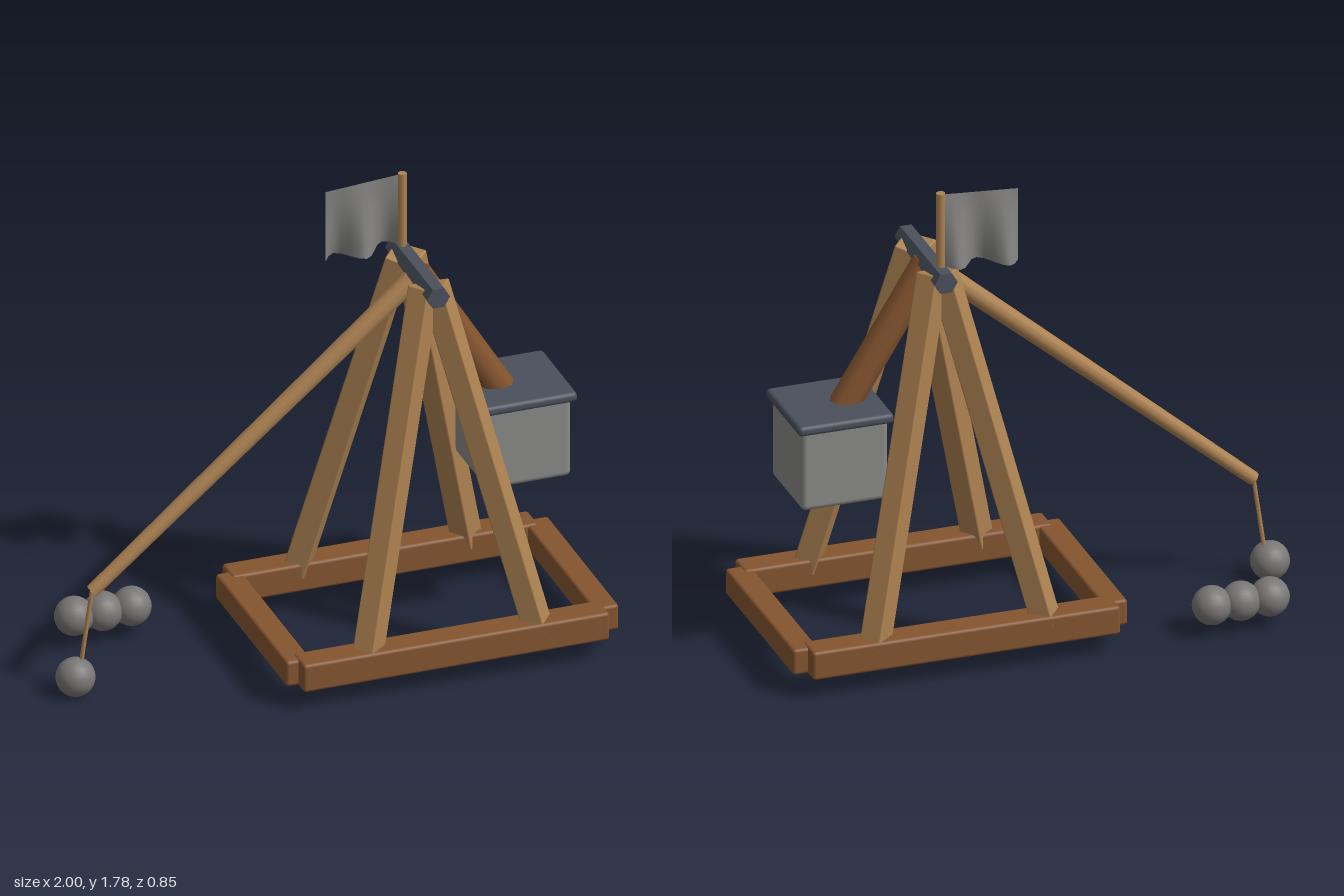
import * as THREE from 'three';
import { RoundedBoxGeometry } from 'three/addons/geometries/RoundedBoxGeometry.js';

const material = (name, color) => {
  const m = new THREE.MeshStandardMaterial({ color });
  m.name = name;
  return m;
};

export function createModel() {
  const model = new THREE.Group();
  const lightWood = material('lightWood', 0xad8252);
  const darkWood = material('darkWood', 0x85552f);
  const iron = material('iron', 0x4a505c);
  const weightGrey = material('weightGrey', 0x8a8a88);
  const stoneGrey = material('stoneGrey', 0x797775);
  const clothGrey = material('clothGrey', 0x858483);
  clothGrey.side = THREE.DoubleSide;

  const V = (x, y, z) => new THREE.Vector3(x, y, z);
  const add = (name, geometry, mat, pos = V(0, 0, 0)) => {
    const mesh = new THREE.Mesh(geometry, mat);
    mesh.name = name;
    mesh.position.copy(pos);
    model.add(mesh);
    return mesh;
  };
  const block = (name, w, h, d, r, mat, pos) =>
    add(name, new RoundedBoxGeometry(w, h, d, 2, r), mat, pos);
  // Tapered round bar between two points
  const bar = (name, a, b, ra, rb, sides, mat) => {
    const dir = b.clone().sub(a);
    const mesh = add(name, new THREE.CylinderGeometry(rb, ra, dir.length(), sides),
      mat, a.clone().add(b).multiplyScalar(0.5));
    mesh.quaternion.setFromUnitVectors(V(0, 1, 0), dir.normalize());
    return mesh;
  };

  // Base frame
  for (const s of [1, -1]) {
    block('sideRail', 1.16, 0.11, 0.11, 0.012, darkWood, V(0.36, 0.135, 0.363 * s));
    block('crossRail', 0.095, 0.1, 0.725, 0.012, darkWood, V(0.365 + 0.583 * s, 0.135, 0));
  }

  // Four square legs, each leaning toward the axle
  for (const sx of [1, -1]) for (const sz of [1, -1]) {
    const foot = V(0.365 + 0.325 * sx, 0.14, 0.363 * sz);
    const head = V(0.365 + 0.02 * sx, 1.465, 0.122 * sz);
    const leg = block('leg', 0.085, 0.085, foot.distanceTo(head), 0.006, lightWood,
      foot.clone().add(head).multiplyScalar(0.5));
    leg.lookAt(head);
  }

  // Axle
  const axle = new THREE.CylinderGeometry(0.043, 0.043, 0.43, 6).toNonIndexed();
  axle.computeVertexNormals();
  axle.rotateY(Math.PI / 2);
  axle.rotateX(Math.PI / 2);
  add('axle', axle, iron, V(0.365, 1.46, 0.003));

  // Throwing arm and thick counterweight arm
  bar('throwingArm', V(-0.868, 0.403, 0), V(0.365, 1.45, 0), 0.026, 0.038, 10, lightWood);
  bar('weightArm', V(0.7, 0.9, 0), V(0.36, 1.45, 0), 0.058, 0.058, 8, darkWood);

  // Counterweight and lid
  block('counterweight', 0.325, 0.32, 0.325, 0.02, weightGrey, V(0.728, 0.782, 0));
  block('counterweightLid', 0.36, 0.038, 0.36, 0.015, iron, V(0.728, 0.943, 0));

  // Sling with its stone, and the spare stones
  bar('slingRope', V(-0.912, 0.1, 0), V(-0.868, 0.403, 0), 0.008, 0.008, 6, lightWood);
  const stone = new THREE.SphereGeometry(0.072, 18, 12);
  add('slingStone', stone, stoneGrey, V(-0.93, 0.072, 0));
  for (let i = 0; i < 3; i++)
    add('spareStone', stone, stoneGrey, V(-0.8 + 0.109 * i, 0.113, -0.363));

  // Flag pole
  bar('flagPole', V(0.362, 1.46, -0.143), V(0.362, 1.785, -0.143), 0.017, 0.017, 8, lightWood);

  // Cloth whose ripples grow toward its lower edge
  const flag = new THREE.PlaneGeometry(1, 1, 12, 8);
  const p = flag.attributes.position;
  for (let i = 0; i < p.count; i++) {
    const u = 0.5 - p.getX(i);
    const t = 0.5 - p.getY(i);
    p.setXYZ(i, 0.352 - 0.28 * u, 1.78 - 0.02 * u - 0.28 * t,
      -0.147 - 0.047 * Math.pow(t, 1.2) * Math.sin(3 * Math.PI * u));
  }
  flag.computeVertexNormals();
  add('flag', flag, clothGrey);

  return model;
}
